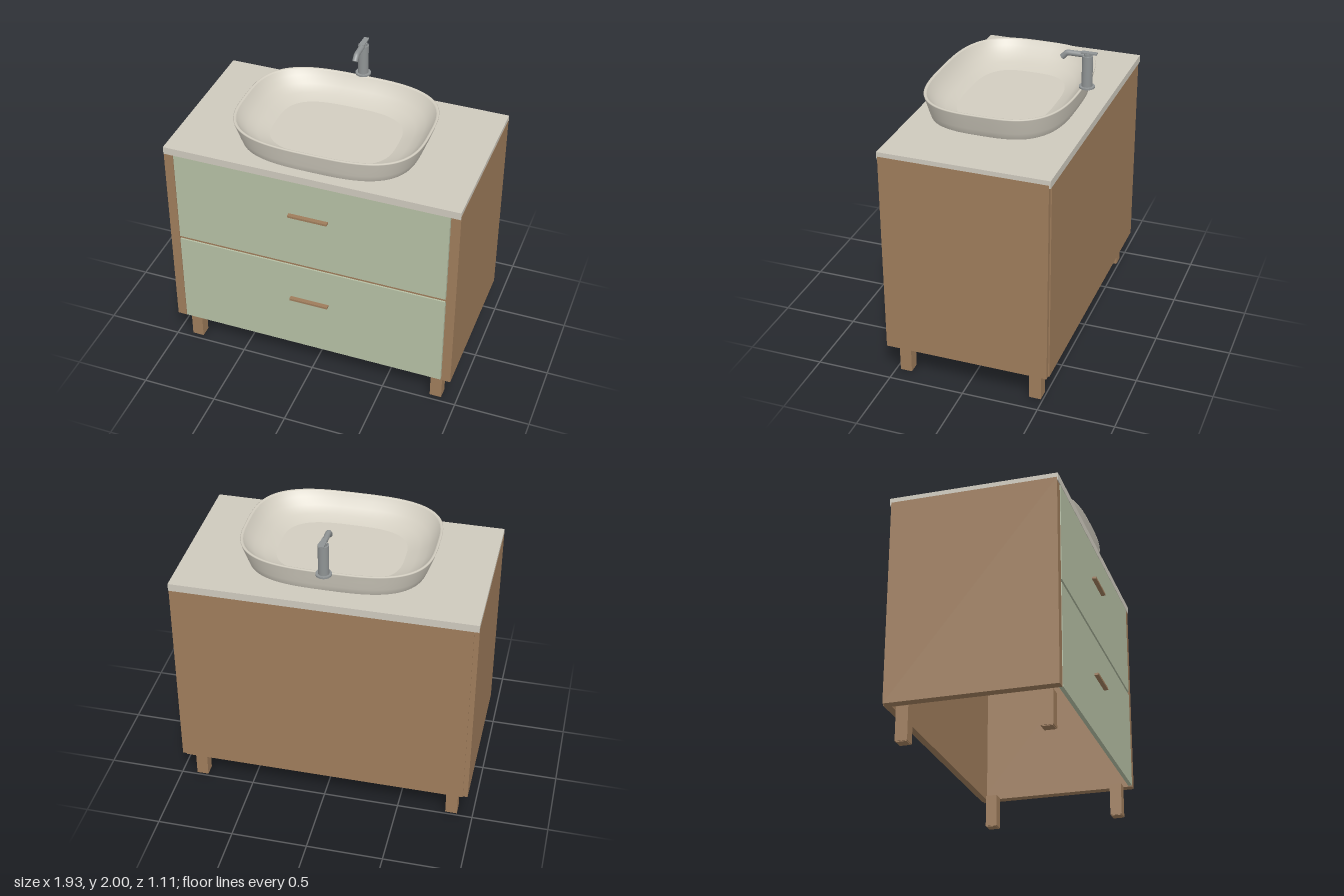
import * as THREE from 'three';

const mat = (name, color, side = THREE.FrontSide) => {
  const m = new THREE.MeshStandardMaterial({ color, side });
  m.name = name;
  return m;
};

export function createModel() {
  const root = new THREE.Group();
  root.name = 'washbasinCabinet';
  const wood = mat('wood', 0x9e7c5b);
  const green = mat('sageGreen', 0xb5bfa4);
  const stone = mat('stone', 0xcec9bd);
  const ceramic = mat('ceramic', 0xd2cdc0, THREE.DoubleSide);
  const metal = mat('metal', 0x8f9394);

  const add = (name, geo, material, x = 0, y = 0, z = 0, parent = root) => {
    const mesh = new THREE.Mesh(geo, material);
    mesh.name = name;
    mesh.position.set(x, y, z);
    parent.add(mesh);
    return mesh;
  };
  // Box given by its minimum and maximum corners
  const box = (name, material, [x0, y0, z0], [x1, y1, z1], parent = root) =>
    add(name, new THREE.BoxGeometry(x1 - x0, y1 - y0, z1 - z0), material,
      (x0 + x1) / 2, (y0 + y1) / 2, (z0 + z1) / 2, parent);

  // Cabinet carcass, open underneath
  for (const s of [-1, 1]) {
    const side = box('sidePanel', wood, [0.905, 0.22, -0.547], [0.966, 1.575, 0.526]);
    side.position.x *= s;
    for (const z of [0.43, -0.45]) {
      box('leg', wood, [s * 0.858 - 0.039, 0.005, z - 0.039], [s * 0.858 + 0.039, 0.222, z + 0.039]);
      box('legFoot', wood, [s * 0.858 - 0.034, 0, z - 0.034], [s * 0.858 + 0.034, 0.006, z + 0.034]);
    }
  }
  box('backPanel', wood, [-0.935, 0.22, -0.555], [0.935, 1.572, -0.51]);
  box('middleRail', wood, [-0.905, 0.88, 0.5], [0.905, 0.922, 0.518]);
  box('countertop', stone, [-0.965, 1.555, -0.557], [0.965, 1.605, 0.531]);

  // Drawer fronts and their handles
  for (const [y0, y1, handleY] of [[0.224, 0.89, 0.621], [0.912, 1.555, 1.302]]) {
    box('drawerFront', green, [-0.9, y0, 0.503], [0.9, y1, 0.529]);
    box('drawerHandle', wood, [-0.13, handleY - 0.007, 0.529], [0.13, handleY + 0.007, 0.557]);
  }

  // Basin: rounded-rectangle loops [half width, half depth, height]
  const N = 96;
  const loopPoint = (rx, rz, i) => {
    const a = (i / N) * Math.PI * 2, e = 2 / 3.1;
    const c = Math.cos(a), s = Math.sin(a);
    return [rx * Math.sign(c) * Math.abs(c) ** e, rz * Math.sign(s) * Math.abs(s) ** e];
  };
  const loft = (rows) => {
    const pos = [], idx = [];
    for (const [rx, rz, y] of rows)
      for (let i = 0; i < N; i++) {
        const [x, z] = loopPoint(rx, rz, i);
        pos.push(x, y, z);
      }
    for (let r = 0; r < rows.length - 1; r++)
      for (let i = 0; i < N; i++) {
        const a = r * N + i, b = r * N + (i + 1) % N;
        idx.push(a, a + N, b, b, a + N, b + N);
      }
    const g = new THREE.BufferGeometry();
    g.setAttribute('position', new THREE.Float32BufferAttribute(pos, 3));
    g.setIndex(idx);
    g.computeVertexNormals();
    return g;
  };
  const basin = new THREE.Group();
  basin.name = 'basin';
  basin.position.z = 0.027;
  root.add(basin);
  add('basinOuterWall', loft([
    [0.555, 0.43, 1.604], [0.568, 0.441, 1.612], [0.584, 0.453, 1.655], [0.603, 0.465, 1.71],
    [0.619, 0.476, 1.757], [0.62, 0.477, 1.762], [0.616, 0.473, 1.766], [0.608, 0.465, 1.766],
    [0.602, 0.459, 1.76],
  ]), ceramic, 0, 0, 0, basin);
  add('basinInnerWall', loft([
    [0.602, 0.459, 1.76], [0.58, 0.44, 1.727], [0.54, 0.407, 1.686],
    [0.48, 0.36, 1.65], [0.405, 0.298, 1.625],
  ]), ceramic, 0, 0, 0, basin);
  add('basinFloor', loft([[0.405, 0.298, 1.625], [0.001, 0.001, 1.625]]), ceramic, 0, 0, 0, basin);

  // Tap
  const tap = new THREE.Group();
  tap.name = 'tap';
  tap.position.z = -0.47;
  root.add(tap);
  add('tapBase', new THREE.CylinderGeometry(0.05, 0.05, 0.011, 40), metal, 0, 1.771, 0, tap);
  add('tapColumn', new THREE.CylinderGeometry(0.034, 0.034, 0.205, 40), metal, 0, 1.875, 0, tap);
  add('tapNeck', new THREE.CylinderGeometry(0.024, 0.024, 0.016, 32), metal, 0, 1.985, 0, tap);
  box('tapLever', metal, [-0.017, 1.991, -0.06], [0.017, 2, 0.04], tap);

  // Spout: level run, then a bend downwards
  const path = new THREE.CurvePath();
  const p = [[1.981, 0.02], [1.981, 0.115], [1.976, 0.137], [1.948, 0.163]]
    .map(([y, z]) => new THREE.Vector3(0, y, z));
  path.add(new THREE.LineCurve3(p[0], p[1]));
  path.add(new THREE.QuadraticBezierCurve3(p[1], new THREE.Vector3(0, 1.981, 0.13), p[2]));
  path.add(new THREE.LineCurve3(p[2], p[3]));
  add('tapSpout', new THREE.TubeGeometry(path, 24, 0.018, 20), metal, 0, 0, 0, tap);
  const tip = add('spoutOutlet', new THREE.CircleGeometry(0.018, 20), metal, 0, p[3].y, p[3].z, tap);
  tip.rotation.x = Math.atan2(p[2].y - p[3].y, p[3].z - p[2].z);

  return root;
}
